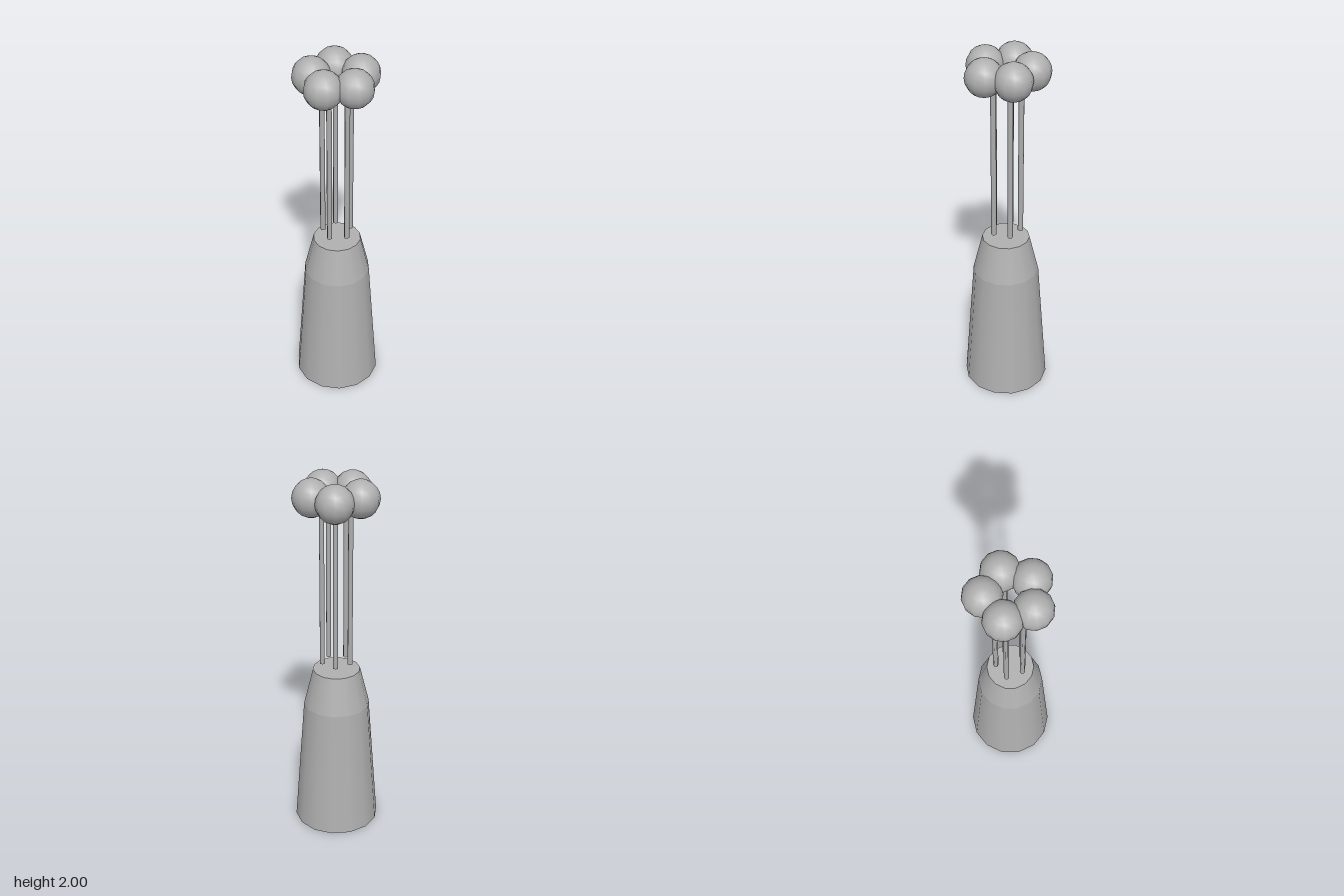
import * as THREE from 'three';

export function createModel() {
  const model = new THREE.Group();
  const grey = new THREE.MeshStandardMaterial({ color: 0xb0b0b0 });
  grey.name = 'grey';
  const axisX = -0.003;

  function add(parent, name, geometry, x, y, z) {
    const mesh = new THREE.Mesh(geometry, grey);
    mesh.name = name;
    mesh.position.set(x, y, z);
    parent.add(mesh);
  }

  // Fourteen-sided vase: tall tapered body with a steeper shoulder
  const vase = new THREE.Group();
  vase.name = 'vase';
  add(vase, 'vaseBody', new THREE.CylinderGeometry(0.178, 0.231, 0.72, 14), axisX, 0.36, 0);
  add(vase, 'vaseShoulder', new THREE.CylinderGeometry(0.128, 0.178, 0.205, 14), axisX, 0.8225, 0);
  model.add(vase);

  // Five round blooms in a ring, each on a thin stem hovering above the vase
  const stemBottom = 0.965, stemTop = 1.87;
  const stemGeometry = new THREE.CylinderGeometry(0.0145, 0.0145, stemTop - stemBottom, 6);
  const bloomGeometry = new THREE.SphereGeometry(0.1, 12, 10);
  for (let i = 0; i < 5; i++) {
    const angle = (i / 5) * Math.PI * 2;
    const c = Math.cos(angle), s = Math.sin(angle);
    const flower = new THREE.Group();
    flower.name = `flower${i + 1}`;
    add(flower, 'stem', stemGeometry, axisX + 0.078 * c, (stemBottom + stemTop) / 2, 0.078 * s);
    add(flower, 'bloom', bloomGeometry, axisX + 0.13 * c, 1.9, 0.13 * s);
    model.add(flower);
  }

  return model;
}
